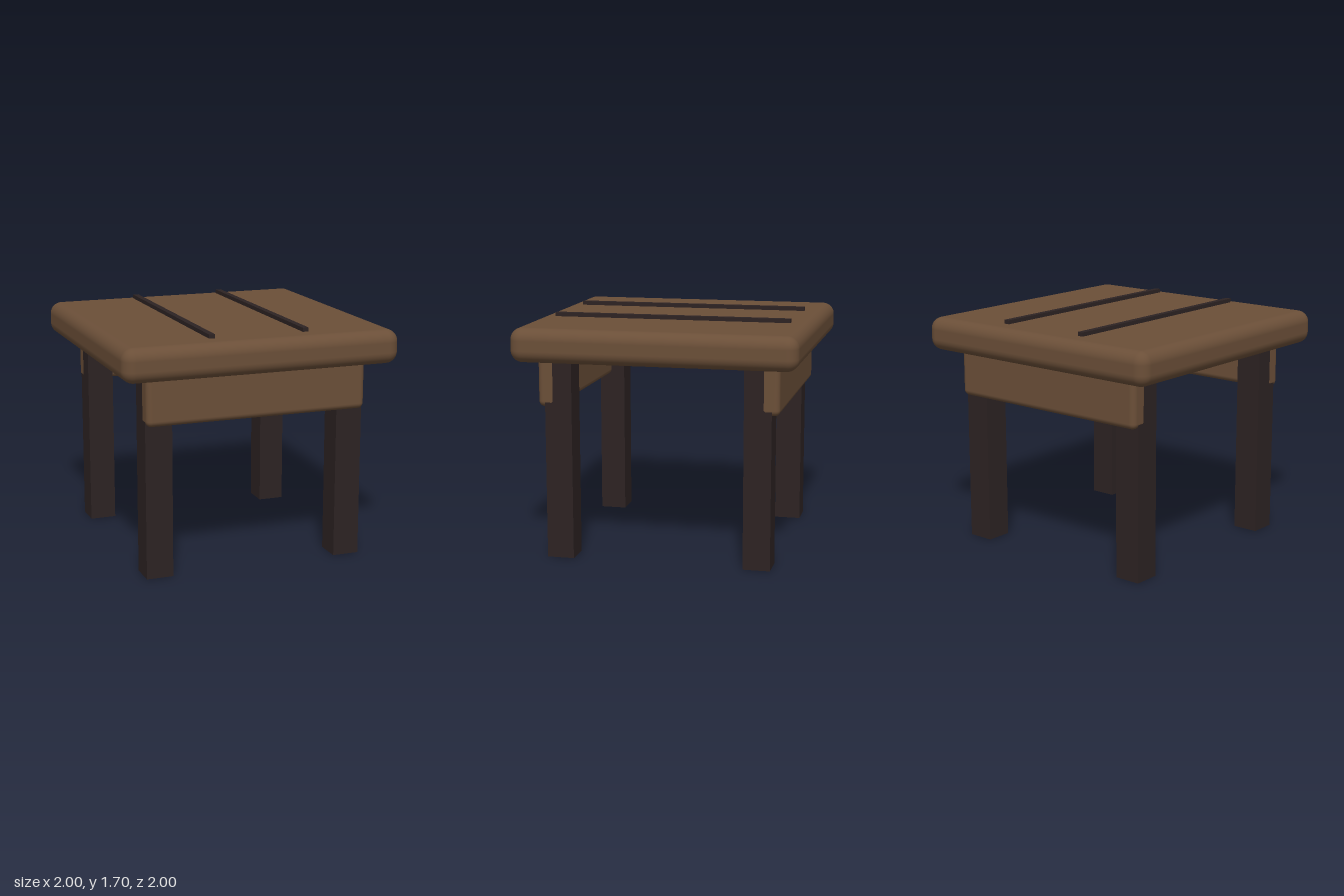
import * as THREE from 'three';
import { RoundedBoxGeometry } from 'three/addons/geometries/RoundedBoxGeometry.js';

export function createModel() {
  const group = new THREE.Group();
  group.name = 'smallTable';

  const wood = new THREE.MeshStandardMaterial({ color: 0x6b4f38 });
  wood.name = 'brown wood';
  const darkWood = new THREE.MeshStandardMaterial({ color: 0x2d2323 });
  darkWood.name = 'dark wood';

  const add = (name, geometry, material, x, y, z) => {
    const mesh = new THREE.Mesh(geometry, material);
    mesh.name = name;
    mesh.position.set(x, y, z);
    group.add(mesh);
  };

  // Thick tabletop with soft rounded edges
  add('tabletop', new RoundedBoxGeometry(2, 0.24, 2, 5, 0.085), wood, 0, 1.54, 0);

  // Two dark strips running front to back, just above the top
  const strip = new THREE.BoxGeometry(0.042, 0.028, 1.706);
  for (const side of [1, -1]) {
    add(side > 0 ? 'leftStrip' : 'rightStrip', strip, darkWood, side * 0.341, 1.682, 0);
  }

  // Rounded aprons at front and back, tucked up into the top
  const apron = new RoundedBoxGeometry(1.604, 0.4, 0.14, 4, 0.04);
  for (const end of [1, -1]) {
    add(end > 0 ? 'frontApron' : 'backApron', apron, wood, 0, 1.287, end * 0.783);
  }

  // Four square legs
  const leg = new THREE.BoxGeometry(0.192, 1.45, 0.192);
  for (const end of [1, -1]) {
    for (const side of [1, -1]) {
      const name = (end > 0 ? 'front' : 'back') + (side > 0 ? 'Left' : 'Right') + 'Leg';
      add(name, leg, darkWood, side * 0.705, 0.725, end * 0.705);
    }
  }

  return group;
}
